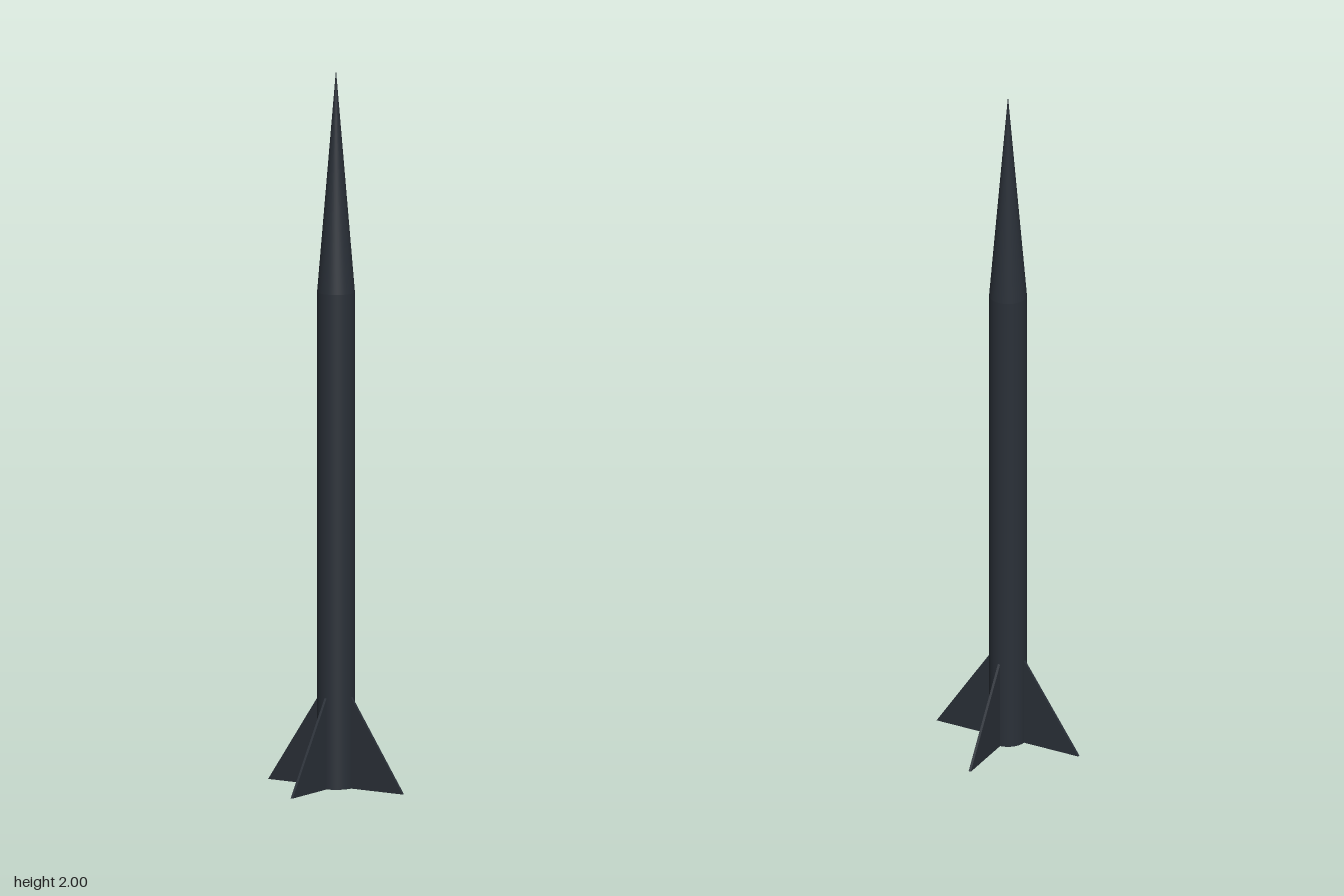
import * as THREE from 'three';

const RADIUS = 0.052, SHOULDER = 1.38, HEIGHT = 2;
const FIN_SPAN = 0.221, FIN_TOP = 0.257, FIN_THICKNESS = 0.007;

export function createModel() {
  const rocket = new THREE.Group();
  rocket.name = 'rocket';
  const paint = new THREE.MeshStandardMaterial({ color: 0x2a3038 });

  const add = (name, geometry, y = 0) => {
    const mesh = new THREE.Mesh(geometry, paint);
    mesh.name = name;
    mesh.position.y = y;
    rocket.add(mesh);
    return mesh;
  };

  // Straight tube, closed at the tail
  add('body', new THREE.CylinderGeometry(RADIUS, RADIUS, SHOULDER, 48), SHOULDER / 2);

  // Long pointed nose
  const noseLength = HEIGHT - SHOULDER;
  add('noseCone', new THREE.ConeGeometry(RADIUS, noseLength, 48, 1, true), SHOULDER + noseLength / 2);

  // Four thin triangular fins, their roots sunk slightly into the tube
  const root = RADIUS - 0.002;
  const outline = new THREE.Shape([
    new THREE.Vector2(root, 0),
    new THREE.Vector2(FIN_SPAN, 0),
    new THREE.Vector2(root, FIN_TOP),
  ]);
  const finGeometry = new THREE.ExtrudeGeometry(outline, { depth: FIN_THICKNESS, bevelEnabled: false });
  finGeometry.translate(0, 0, -FIN_THICKNESS / 2);
  ['leftFin', 'backFin', 'rightFin', 'frontFin'].forEach((name, i) => {
    add(name, finGeometry).rotation.y = i * Math.PI / 2;
  });

  return rocket;
}
